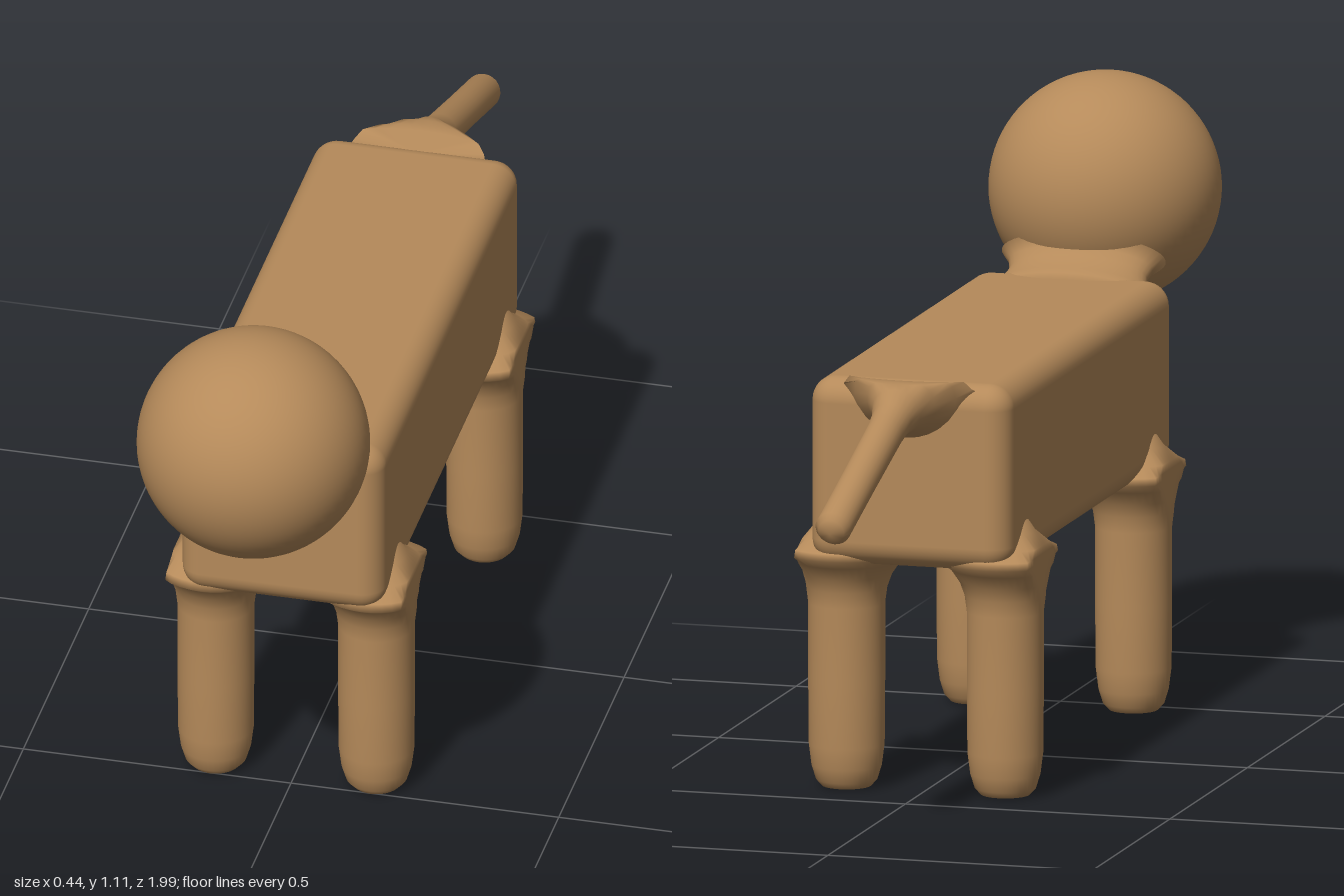
import * as THREE from 'three';
import { mergeVertices } from 'three/addons/utils/BufferGeometryUtils.js';
import { RoundedBoxGeometry } from 'three/addons/geometries/RoundedBoxGeometry.js';

const coat = new THREE.MeshStandardMaterial({ color: 0xb58a5a });
coat.name = 'tanCoat';

function part(name, geometry, x = 0, y = 0, z = 0) {
  const mesh = new THREE.Mesh(geometry, coat);
  mesh.name = name;
  mesh.position.set(x, y, z);
  return mesh;
}

// Lathe from [radius, height] points
function turned(points, segments = 40) {
  return new THREE.LatheGeometry(points.map(([r, h]) => new THREE.Vector2(r, h)), segments);
}

// Move each vertex by a rule, then weld the seam and smooth the normals
function reshape(geometry, rule) {
  const p = geometry.attributes.position;
  const v = new THREE.Vector3();
  for (let i = 0; i < p.count; i++) {
    v.fromBufferAttribute(p, i);
    rule(v);
    p.setXYZ(i, v.x, v.y, v.z);
  }
  geometry.deleteAttribute('uv');
  geometry.deleteAttribute('normal');
  const welded = mergeVertices(geometry, 1e-5);
  welded.computeVertexNormals();
  return welded;
}

// Leg that flares into the belly but stays flush on its outer side
function leg(name, side, z) {
  const profile = [
    [0, 0], [0.045, 0.002], [0.056, 0.014], [0.064, 0.04], [0.069, 0.08], [0.07, 0.2],
    [0.07, 0.34], [0.074, 0.37], [0.083, 0.395], [0.1, 0.42], [0.125, 0.437],
    [0.118, 0.45], [0.085, 0.465], [0.055, 0.49], [0.035, 0.52], [0, 0.53],
  ];
  const geometry = reshape(turned(profile), (v) => {
    if (v.x * side > 0.07) v.x = 0.07 * side;
  });
  return part(name, geometry, 0.15 * side, 0, z);
}

export function createModel() {
  const model = new THREE.Group();
  model.name = 'animal';

  // Body and head
  model.add(part('body', new RoundedBoxGeometry(0.38, 0.345, 1.08, 5, 0.045), 0, 0.603, 0.05));
  model.add(part('head', new THREE.SphereGeometry(0.212, 64, 40), 0, 0.898, 0.788));

  // Wide, flat neck leaning forward, flared at both ends
  const neckProfile = [
    [0, -0.09], [0.155, -0.08], [0.16, -0.05], [0.143, -0.03], [0.133, -0.01],
    [0.13, 0.005], [0.136, 0.025], [0.155, 0.05], [0, 0.06],
  ];
  const tilt = Math.atan2(0.18, 0.135);
  const neck = reshape(turned(neckProfile), (v) => {
    v.z *= 0.4;
    v.applyAxisAngle(new THREE.Vector3(1, 0, 0), tilt);
  });
  model.add(part('neck', neck, 0, 0.765, 0.61));

  // Four legs
  for (const side of [1, -1]) {
    const sideName = side > 0 ? 'Left' : 'Right';
    model.add(leg('front' + sideName + 'Leg', side, 0.46));
    model.add(leg('rear' + sideName + 'Leg', side, -0.367));
  }

  // Tail, spread at the root and level with the back
  const tailProfile = [
    [0, -0.01], [0.125, 0], [0.095, 0.03], [0.064, 0.06], [0.046, 0.09], [0.037, 0.125],
    [0.034, 0.17], [0.033, 0.35], [0.033, 0.522], [0.024, 0.535], [0, 0.545],
  ];
  const along = new THREE.Vector3(0, -0.172, -0.51).normalize();
  const turn = new THREE.Quaternion().setFromUnitVectors(new THREE.Vector3(0, 1, 0), along);
  const root = new THREE.Vector3(0, 0.765, -0.472);
  const tail = reshape(turned(tailProfile, 24), (v) => {
    v.applyQuaternion(turn).add(root);
    v.y = Math.min(v.y, v.z > -0.49 ? 0.77 : 0.785);
  });
  model.add(part('tail', tail));

  return model;
}
